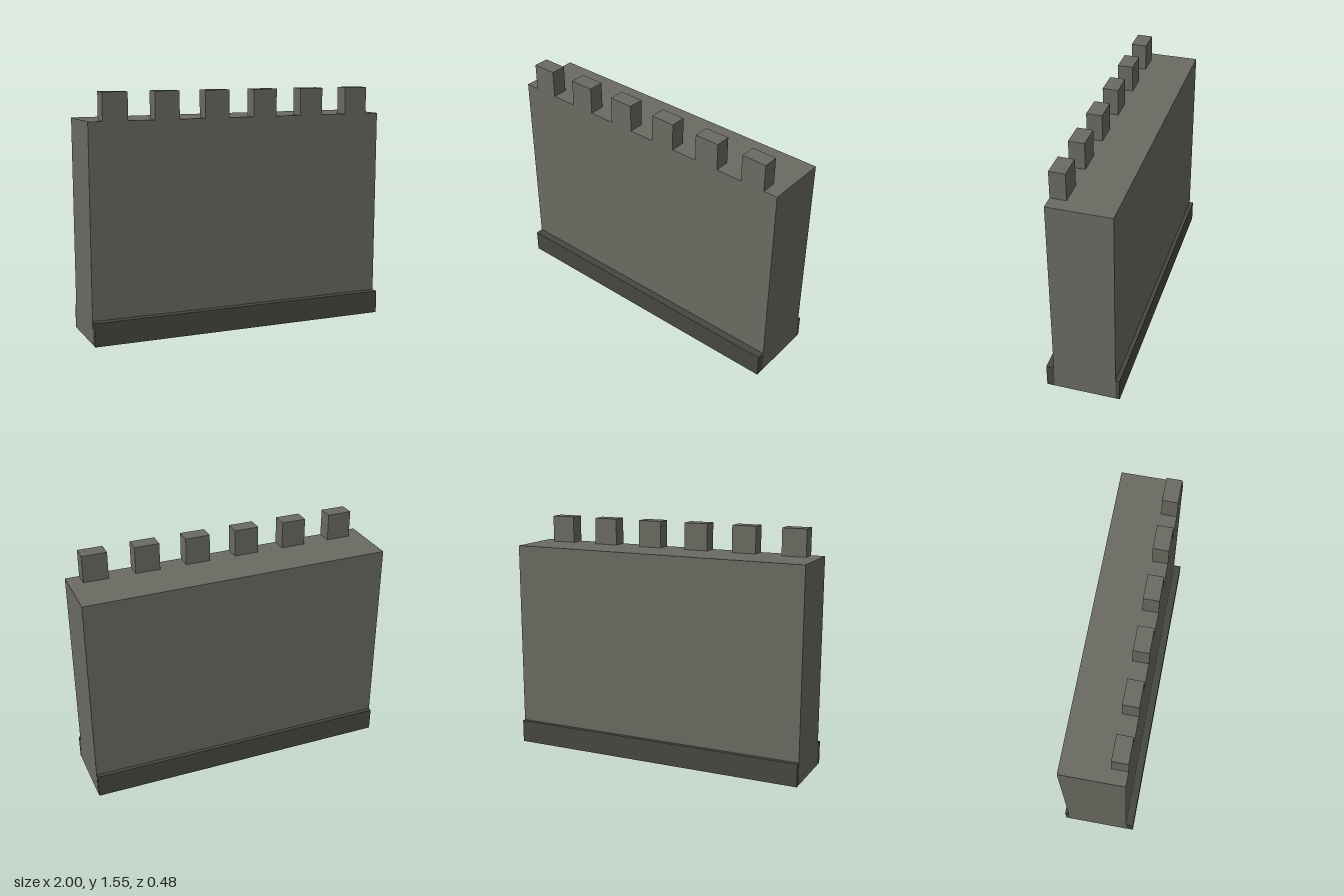
import * as THREE from 'three';

export function createModel() {
  const group = new THREE.Group();
  const stone = new THREE.MeshStandardMaterial({ color: 0x6a6a62 });
  stone.name = 'stone';
  const darkStone = new THREE.MeshStandardMaterial({ color: 0x474740 });
  darkStone.name = 'dark stone';

  // Box given by its lower and upper corners
  function block(name, material, [x0, y0, z0], [x1, y1, z1]) {
    const mesh = new THREE.Mesh(new THREE.BoxGeometry(x1 - x0, y1 - y0, z1 - z0), material);
    mesh.position.set((x0 + x1) / 2, (y0 + y1) / 2, (z0 + z1) / 2);
    mesh.name = name;
    group.add(mesh);
  }

  // Wall body, lifted a hair so its underside stays inside the plinth
  block('wall', stone, [-1, 0.001, -0.212], [1, 1.375, 0.188]);

  // Plinth projecting at front and back, its ends a hair behind the wall ends
  block('plinth', darkStone, [-0.999, 0, -0.238], [0.999, 0.15, 0.238]);

  // Battlements along the front edge
  for (let i = 0; i < 6; i++) {
    const x = (i - 2.5) * 0.332;
    block('merlon' + (i + 1), stone, [x - 0.08, 1.375, 0.088], [x + 0.08, 1.55, 0.188]);
  }
  return group;
}
